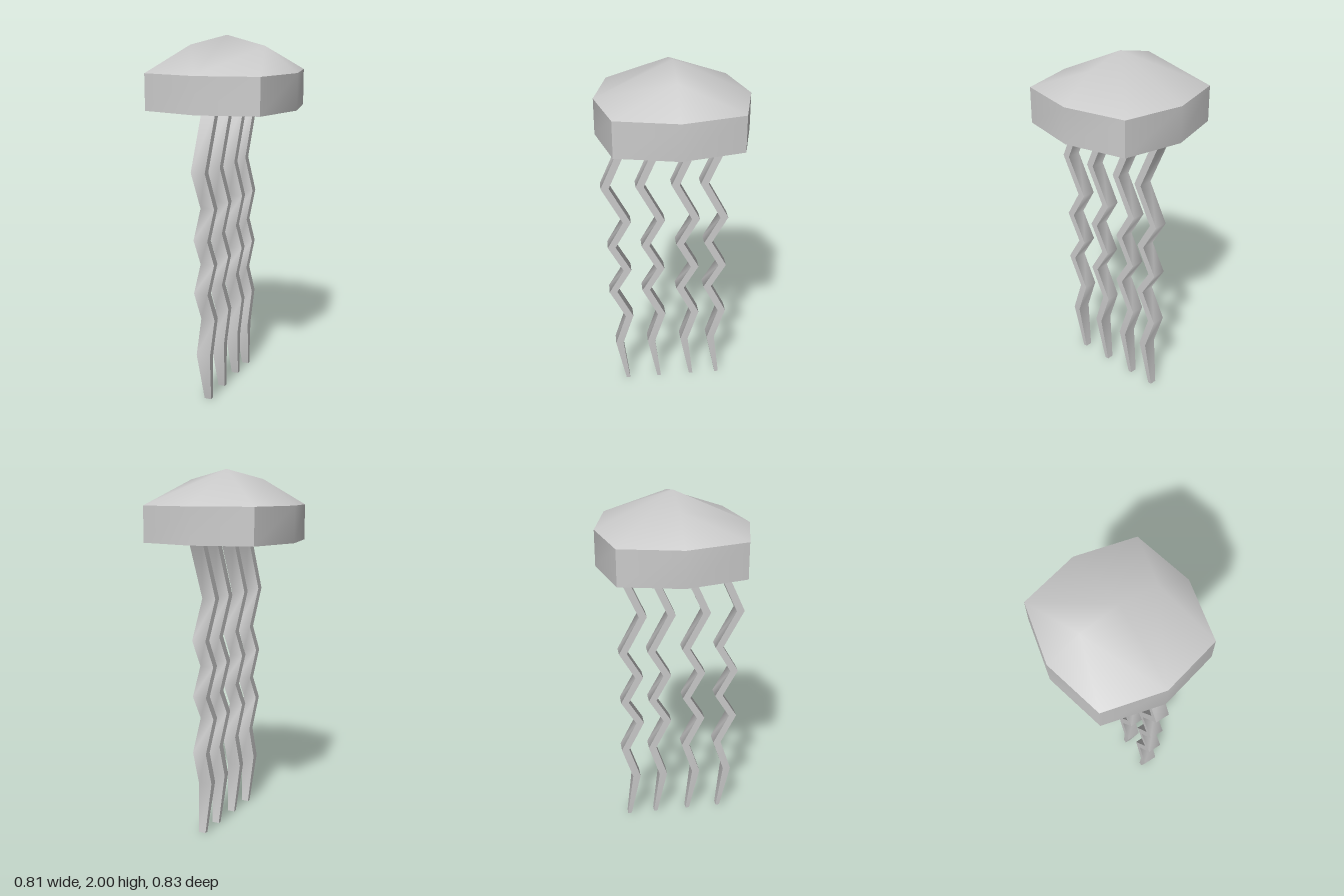
import * as THREE from 'three';
import { mergeVertices, toCreasedNormals } from 'three/addons/utils/BufferGeometryUtils.js';

const RIM_TOP = 1.807, RIM_BOTTOM = 1.61, CEILING = 1.63;

// Eight-sided outline, counter-clockwise from the front corner
const half = [[0, 0.415], [0.327, 0.335], [0.405, 0], [0.327, -0.335]];
const outline = [...half, ...half.map(([x, z]) => [-x, -z])];
const ringAt = (y, scale = 1) => outline.map(([x, z]) => [x * scale, y, z * scale]);

function fromTriangles(triangles) {
  const geometry = new THREE.BufferGeometry();
  geometry.setAttribute('position', new THREE.Float32BufferAttribute(triangles.flat(2), 3));
  return geometry;
}

// Smooth dome with an apex and one ridge point on each side
function domeGeometry() {
  const t = ringAt(RIM_TOP);
  const apex = [0, 2, 0], left = [0.22, 1.945, 0], right = [-0.22, 1.945, 0];
  const geometry = mergeVertices(fromTriangles([
    // front
    [apex, t[0], left], [t[0], t[1], left],
    [apex, right, t[0]], [t[0], right, t[7]],
    // sides
    [left, t[1], t[2]], [left, t[2], t[3]],
    [right, t[5], t[6]], [right, t[6], t[7]],
    // back
    [apex, left, t[3]], [apex, t[3], t[4]],
    [apex, t[4], t[5]], [apex, t[5], right],
  ]));
  geometry.computeVertexNormals();
  return geometry;
}

// Upright rim with a shallow hollow underneath
function rimGeometry() {
  const rings = [ringAt(RIM_TOP), ringAt(RIM_BOTTOM), ringAt(CEILING, 0.93)];
  const centre = [0, CEILING, 0];
  const triangles = [];
  for (let i = 0; i < 8; i++) {
    const j = (i + 1) % 8;
    for (let k = 0; k < 2; k++) {
      const upper = rings[k], lower = rings[k + 1];
      triangles.push([lower[i], lower[j], upper[j]], [lower[i], upper[j], upper[i]]);
    }
    triangles.push([centre, rings[2][j], rings[2][i]]);
  }
  return toCreasedNormals(fromTriangles(triangles), THREE.MathUtils.degToRad(35));
}

// Zigzag strip: a segmented box whose rows follow a bent path
function tentacleGeometry() {
  // y, z, half width, half depth, from top to tip
  const rows = [
    [1.64, 0.228, 0.04, 0.022], [1.31, 0.376, 0.04, 0.022],
    [1.095, 0.261, 0.04, 0.022], [0.94, 0.35, 0.04, 0.022],
    [0.785, 0.265, 0.04, 0.022], [0.645, 0.35, 0.04, 0.022],
    [0.47, 0.261, 0.04, 0.022], [0.28, 0.324, 0.04, 0.022],
    [0, 0.278, 0.02, 0.011],
  ];
  const n = rows.length - 1;
  const geometry = new THREE.BoxGeometry(2, n, 2, 1, n, 1);
  const p = geometry.attributes.position;
  for (let i = 0; i < p.count; i++) {
    const [y, z, w, d] = rows[Math.round(n / 2 - p.getY(i))];
    p.setXYZ(i, p.getX(i) * w, y, z + p.getZ(i) * d);
  }
  geometry.computeVertexNormals();
  return geometry;
}

export function createModel() {
  const model = new THREE.Group();
  model.name = 'jellyfish';
  const material = new THREE.MeshStandardMaterial({ color: 0xcccccc });

  const add = (name, geometry) => {
    const mesh = new THREE.Mesh(geometry, material);
    mesh.name = name;
    model.add(mesh);
    return mesh;
  };

  add('bellDome', domeGeometry());
  add('bellRim', rimGeometry());

  // four tentacles in a row from front to back
  const tentacle = tentacleGeometry();
  [0, -0.19, -0.387, -0.547].forEach((z, i) => {
    add(`tentacle${i + 1}`, tentacle).position.set(0.009, 0, z);
  });
  return model;
}
